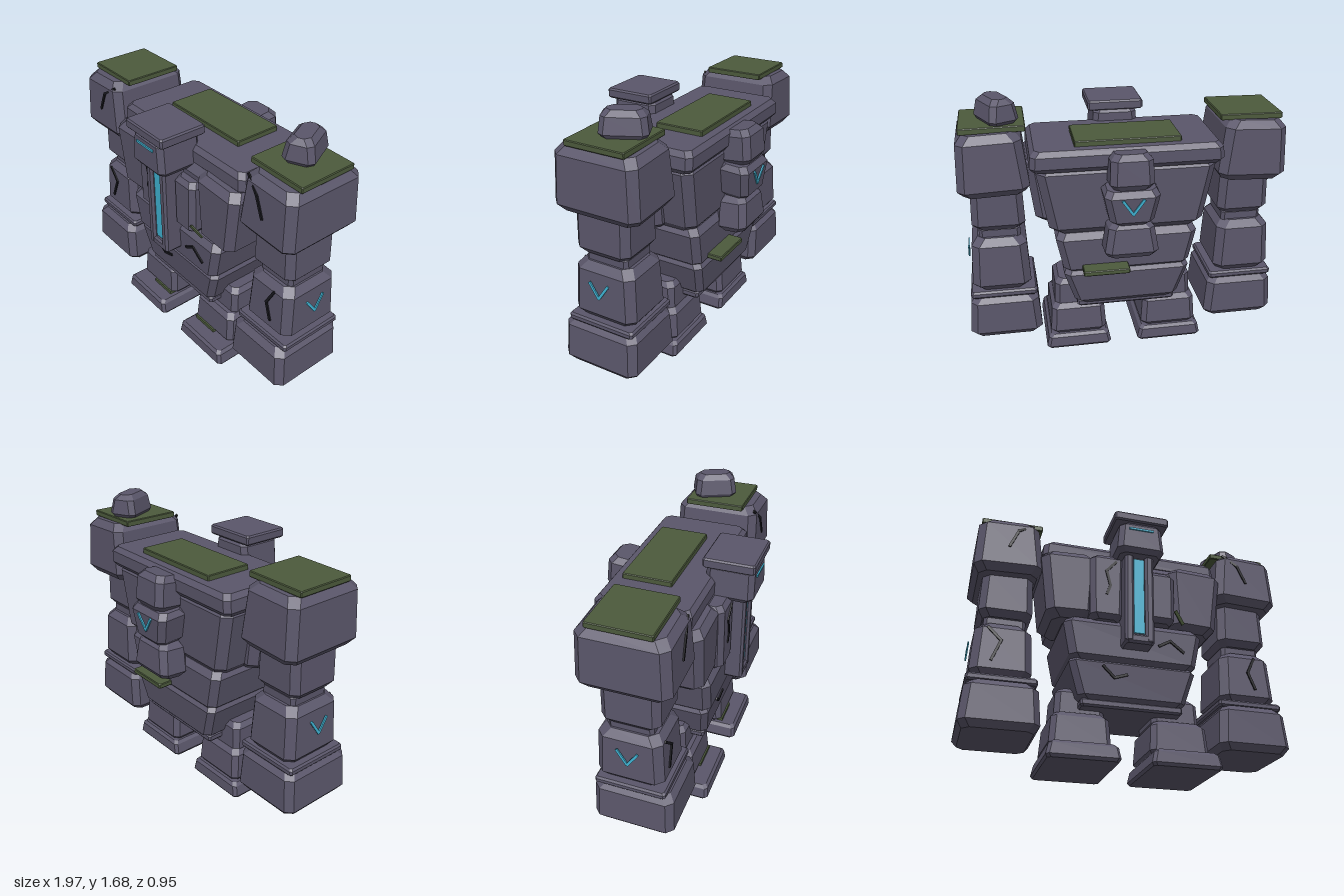
import * as THREE from 'three';
import { mergeGeometries } from 'three/addons/utils/BufferGeometryUtils.js';

export function createModel() {
  const model = new THREE.Group();
  model.name = 'stoneGolem';
  const material = (name, color) => {
    const m = new THREE.MeshStandardMaterial({ color, flatShading: true });
    m.name = name;
    return m;
  };
  const stone = material('stone', 0x5a566a);
  const moss = material('moss', 0x4c5a3c);
  const glow = material('glow', 0x3fb2d2);
  const crack = material('crack', 0x17171d);

  function add(name, geometry, mat) {
    const mesh = new THREE.Mesh(geometry, mat);
    mesh.name = name;
    model.add(mesh);
    return mesh;
  }

  // Chamfered block lofted from four octagonal rings; top and bot scale its ends in [x, z]
  function block(name, [x0, x1], [y0, y1], [z0, z1], o = {}) {
    const { top = [1, 1], bot = [1, 1], c = 0.03, mat = stone, rot = [0, 0, 0] } = o;
    const w = (x1 - x0) / 2, h = (y1 - y0) / 2, d = (z1 - z0) / 2;
    const ring = (y, inset) => {
      const t = (y + h) / (2 * h);
      const a = w * THREE.MathUtils.lerp(bot[0], top[0], t) - inset;
      const b = d * THREE.MathUtils.lerp(bot[1], top[1], t) - inset;
      return [[a, c - b], [a, b - c], [a - c, b], [c - a, b], [-a, b - c], [-a, c - b], [c - a, -b], [a - c, -b]]
        .map(([x, z]) => [x, y, z]);
    };
    const rings = [ring(-h, c * 0.8), ring(c - h, 0), ring(h - c, 0), ring(h, c * 0.8)];
    const pos = [];
    const tri = (...p) => p.forEach((v) => pos.push(...v));
    for (let i = 0; i < 3; i++) {
      for (let j = 0; j < 8; j++) {
        const k = (j + 1) % 8, lo = rings[i], hi = rings[i + 1];
        tri(lo[j], hi[j], hi[k]);
        tri(lo[j], hi[k], lo[k]);
      }
    }
    for (let j = 1; j < 7; j++) {
      tri(rings[0][0], rings[0][j], rings[0][j + 1]);
      tri(rings[3][0], rings[3][j + 1], rings[3][j]);
    }
    const g = new THREE.BufferGeometry();
    g.setAttribute('position', new THREE.Float32BufferAttribute(pos, 3));
    g.computeVertexNormals();
    const mesh = add(name, g, mat);
    mesh.position.set((x0 + x1) / 2, (y0 + y1) / 2, (z0 + z1) / 2);
    mesh.rotation.set(...rot);
    return mesh;
  }

  function slab(name, [x0, x1], [y0, y1], [z0, z1], mat) {
    const mesh = add(name, new THREE.BoxGeometry(x1 - x0, y1 - y0, z1 - z0), mat);
    mesh.position.set((x0 + x1) / 2, (y0 + y1) / 2, (z0 + z1) / 2);
    return mesh;
  }

  // Thin strokes along a polyline lying on a surface with the given normal
  function stroke(name, points, mat, normal = [0, 0, 1], width = 0.016) {
    const p = points.map((a) => new THREE.Vector3(...a));
    const parts = [];
    for (let i = 0; i + 1 < p.length; i++) {
      const dir = p[i + 1].clone().sub(p[i]);
      const len = dir.length();
      dir.normalize();
      const side = new THREE.Vector3(...normal).cross(dir).normalize();
      const out = dir.clone().cross(side);
      const g = new THREE.BoxGeometry(len + width * 0.5, width, 0.009);
      g.applyMatrix4(new THREE.Matrix4().makeBasis(dir, side, out)
        .setPosition(p[i].clone().add(p[i + 1]).multiplyScalar(0.5)));
      parts.push(g);
    }
    return add(name, mergeGeometries(parts), mat);
  }

  // Torso
  block('shoulderSlab', [-0.57, 0.57], [1.29, 1.42], [-0.335, 0.235], { c: 0.03, top: [0.98, 1] });
  block('chestCore', [-0.54, 0.54], [0.87, 1.32], [-0.31, 0.27], { c: 0.05, bot: [0.85, 0.95] });
  block('belly', [-0.44, 0.44], [0.6, 0.88], [-0.3, 0.305], { c: 0.04, bot: [0.87, 0.97] });
  block('pelvis', [-0.4, 0.4], [0.37, 0.635], [-0.3, 0.285], { c: 0.035, bot: [0.79, 0.9] });
  block('pelvisPlate', [-0.31, 0.31], [0.34, 0.39], [-0.24, 0.24], { c: 0.012 });
  block('mossBack', [-0.32, 0.305], [1.41, 1.452], [-0.26, 0.04], { c: 0.005, mat: moss });
  block('mossLedge', [0.0, 0.28], [0.638, 0.67], [-0.385, -0.22], { c: 0.005, mat: moss });

  // Legs, arms and chest plates in mirrored pairs
  for (const s of [-1, 1]) {
    const side = s > 0 ? 'left' : 'right';
    const X = (a, b) => (s > 0 ? [a, b] : [-b, -a]);
    block(side + 'ChestPlate', X(0.22, 0.58), [0.875, 1.32], [-0.12, 0.305],
      { c: 0.045, bot: [0.78, 0.95], rot: [0, 0, -0.04 * s] });
    block(side + 'Thigh', X(0.145, 0.445), [0.28, 0.475], [-0.14, 0.16], { c: 0.03, top: [0.95, 0.95] });
    block(side + 'Shin', X(0.115, 0.48), [0.095, 0.31], [-0.18, 0.225], { c: 0.03, top: [0.92, 0.92] });
    block(side + 'Foot', X(0.085, 0.515), [0, 0.1], [-0.2, 0.335], { c: 0.018, top: [0.9, 0.97] });
    slab(side + 'FootMoss', X(0.145, 0.325), [0.1, 0.122], [0.12, 0.232], moss);

    block(side + 'Shoulder', X(0.565, 0.99), [1.135, 1.505], [-0.27, 0.28],
      { c: 0.045, top: [0.86, 0.94], rot: [0, 0, -0.04 * s] });
    block(side + 'ShoulderMoss', X(0.57, 0.95), [1.502, 1.538], [-0.19, 0.185], { c: 0.005, mat: moss })
      .rotation.z = 0.012 * -s;
    block(side + 'UpperArm', X(0.6, 0.925), [0.87, 1.18], [-0.16, 0.19], { c: 0.04, top: [0.93, 1] });
    block(side + 'Elbow', X(0.635, 0.885), [0.79, 0.89], [-0.13, 0.14], { c: 0.02 });
    block(side + 'Forearm', X(0.585, 0.95), [0.475, 0.825], [-0.2, 0.212], { c: 0.045, top: [0.9, 0.92] });
    block(side + 'Wristband', X(0.555, 0.965), [0.432, 0.478], [-0.2, 0.23], { c: 0.012 });
    block(side + 'Fist', X(0.53, 0.99), [0.15, 0.435], [-0.22, 0.28], { c: 0.04, top: [0.9, 0.96] });
    stroke(side + 'ArmRune', [[0.957 * s, 0.725, 0.07], [0.962 * s, 0.64, 0.01], [0.957 * s, 0.73, -0.05]],
      glow, [s, 0, 0]);
  }
  block('rightInnerChest', [-0.29, -0.07], [0.87, 1.31], [0.1, 0.335], { c: 0.03, bot: [0.9, 1] });
  block('leftInnerChest', [0.07, 0.255], [0.89, 1.24], [0.1, 0.335], { c: 0.03, bot: [0.95, 1] });
  block('shoulderRock', [0.645, 0.815], [1.53, 1.68], [-0.18, 0.08],
    { c: 0.03, bot: [1.15, 1.05], top: [0.82, 0.9], rot: [0, 0.44, 0] });

  // Glowing core in its frame
  for (const s of [-1, 1]) block('coreRail', [s * 0.0625 - 0.0275, s * 0.0625 + 0.0275], [0.7, 1.31], [0.24, 0.408], { c: 0.014 });
  block('coreSill', [-0.09, 0.09], [0.695, 0.755], [0.24, 0.406], { c: 0.014 });
  block('coreBacking', [-0.05, 0.05], [0.74, 1.31], [0.24, 0.38], { c: 0.005 });
  slab('coreGlow', [-0.032, 0.032], [0.765, 1.27], [0.382, 0.39], glow);

  // Head
  block('head', [-0.15, 0.15], [1.28, 1.5], [0.17, 0.462], { c: 0.03, top: [0.87, 0.97] });
  block('brow', [-0.172, 0.172], [1.49, 1.55], [0.165, 0.472], { c: 0.01 });
  slab('eyeSlit', [-0.08, 0.075], [1.433, 1.446], [0.458, 0.467], glow);

  // Rocks along the spine
  block('upperSpineRock', [-0.13, 0.13], [1.2, 1.41], [-0.46, -0.26], { c: 0.035, top: [0.92, 1], rot: [0.1, 0, 0] });
  block('middleSpineRock', [-0.17, 0.17], [0.985, 1.21], [-0.468, -0.26], { c: 0.035, bot: [0.72, 0.95], rot: [-0.06, 0, 0] });
  block('lowerSpineRock', [-0.165, 0.165], [0.775, 0.995], [-0.462, -0.26], { c: 0.035, top: [0.78, 0.95], rot: [0.08, 0, 0] });
  stroke('spineRune', [[-0.06, 1.16, -0.478], [0, 1.07, -0.47], [0.06, 1.16, -0.478]], glow, [0, 0, -1]);

  // Cracks
  const cracks = {
    rightShoulderCrack: [[-0.64, 1.48, 0.25], [-0.73, 1.42, 0.272], [-0.78, 1.3, 0.276]],
    leftShoulderCrack: [[0.63, 1.49, 0.25], [0.72, 1.41, 0.272], [0.77, 1.29, 0.276]],
    chestCrack: [[-0.13, 1.26, 0.337], [-0.19, 1.19, 0.337], [-0.165, 1.09, 0.337], [-0.185, 1.03, 0.337]],
    rightForearmCrack: [[-0.86, 0.78, 0.2], [-0.78, 0.7, 0.207], [-0.83, 0.57, 0.212]],
    leftForearmCrack: [[0.82, 0.78, 0.2], [0.77, 0.68, 0.207], [0.81, 0.57, 0.212]],
    bellyCrack: [[0.15, 0.74, 0.305], [0.22, 0.78, 0.306], [0.305, 0.715, 0.304]],
    pelvisCrack: [[-0.19, 0.58, 0.284], [-0.12, 0.515, 0.276], [-0.045, 0.54, 0.279]],
  };
  for (const [name, points] of Object.entries(cracks)) stroke(name, points, crack);
  stroke('chestMoss', [[0.25, 0.97, 0.338], [0.305, 0.91, 0.305]], moss, [0, 0, 1], 0.022);

  return model;
}
